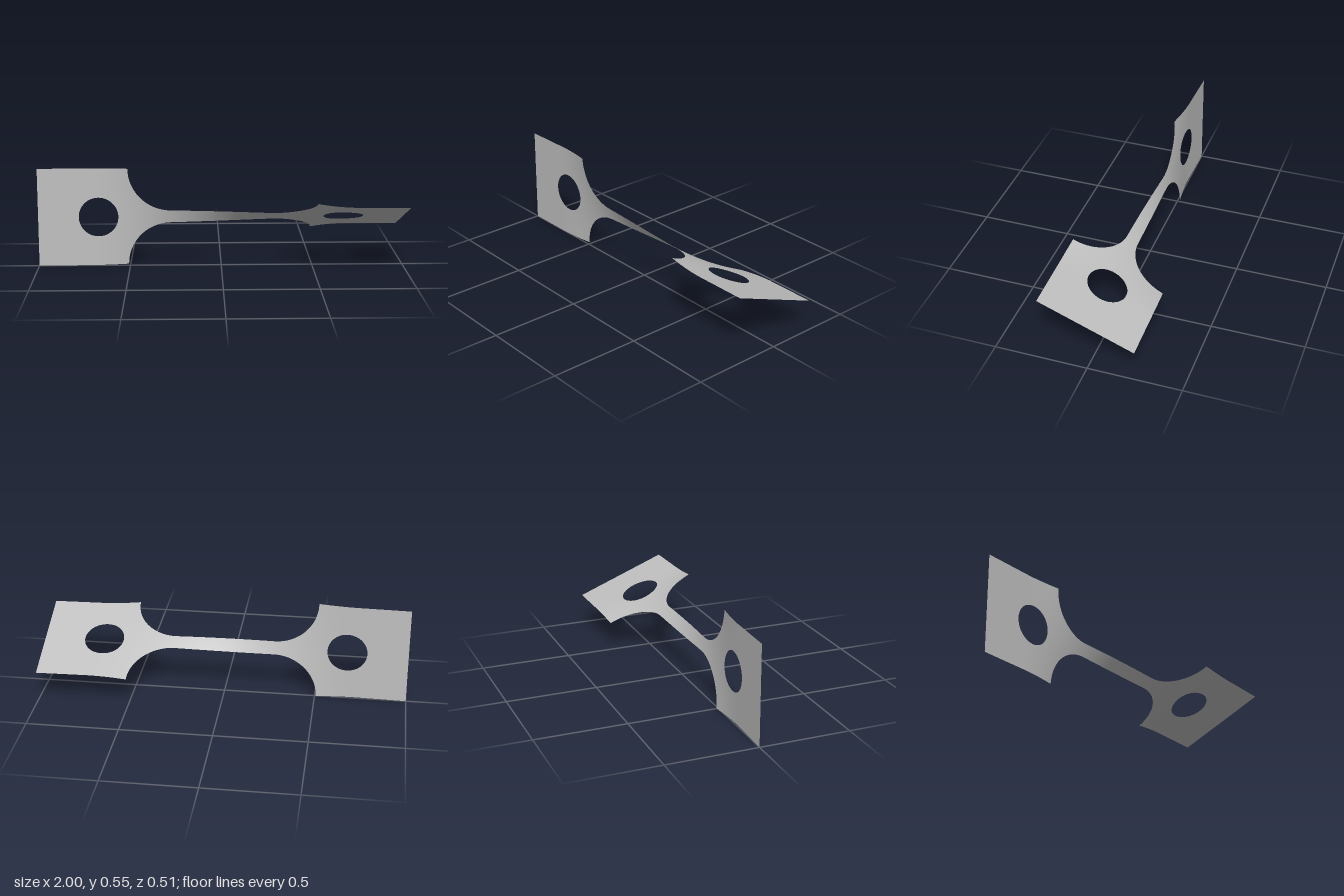
import * as THREE from 'three';
import { mergeGeometries, mergeVertices } from 'three/addons/utils/BufferGeometryUtils.js';

const HALF = 0.271;     // half width of the end tabs
const NECK = 0.0365;    // half width of the neck
const TAB = 0.508;      // where the tabs meet the fillets
const HOLE_X = 0.67;    // hole centre distance
const HOLE_R = 0.108;
const FILLET = HALF - NECK;

// Twists and slightly bows the flat sheet: x along it, w across it
function bend(x, w) {
  const a = THREE.MathUtils.degToRad(68.5) * THREE.MathUtils.smoothstep(x, -0.73, 0.73);
  const bow = Math.cos(x * Math.PI / 2);
  return [
    x,
    HALF + 0.0055 * bow + 0.001 * (x + 1) + w * Math.cos(a),
    0.008 * bow + 0.001 * (x + 1) + w * Math.sin(a),
  ];
}

// Half width of the outline at x
function halfWidth(x) {
  const d = TAB + 1e-9 - Math.abs(x);
  if (d <= 0) return HALF;
  if (d >= FILLET) return NECK;
  return HALF - Math.sqrt(Math.max(0, FILLET ** 2 - (FILLET - d) ** 2));
}

// Strip of sheet between two edge curves lo(x) and hi(x)
function strip(xs, lo, hi, rows) {
  const pos = [], index = [];
  xs.forEach((x, i) => {
    for (let j = 0; j <= rows; j++) {
      pos.push(...bend(x, THREE.MathUtils.lerp(lo(x), hi(x), j / rows)));
      if (i < xs.length - 1 && j < rows) {
        const a = i * (rows + 1) + j, b = a + rows + 1;
        index.push(a, b, b + 1, a, b + 1, a + 1);
      }
    }
  });
  const g = new THREE.BufferGeometry();
  g.setAttribute('position', new THREE.Float32BufferAttribute(pos, 3));
  g.setIndex(index);
  return g;
}

const stations = (a, b, n, ease = t => t) =>
  Array.from({ length: n + 1 }, (_, i) => a + (b - a) * ease(i / n));

function join(parts) {
  const g = mergeVertices(mergeGeometries(parts), 1e-5);
  g.computeVertexNormals();
  return g;
}

// Square tab with a round hole; side is -1 or 1
function tab(side) {
  const c = side * HOLE_X;
  const ends = [side * TAB, side].sort((p, q) => p - q);
  const hole = x => Math.sqrt(Math.max(0, HOLE_R ** 2 - (x - c) ** 2));
  const top = () => HALF, bottom = () => -HALF;
  const across = stations(c - HOLE_R, c + HOLE_R, 40, t => (1 - Math.cos(Math.PI * t)) / 2);
  return join([
    strip(stations(ends[0], c - HOLE_R, 10), bottom, top, 8),
    strip(across, hole, top, 4),
    strip(across, bottom, x => -hole(x), 4),
    strip(stations(c + HOLE_R, ends[1], 10), bottom, top, 8),
  ]);
}

// Narrow neck with a concave fillet at each end
function neck() {
  const inner = TAB - FILLET;
  const xs = [
    ...stations(-TAB, -inner, 24, t => 1 - Math.cos(t * Math.PI / 2)),
    ...stations(-inner, inner, 40).slice(1),
    ...stations(inner, TAB, 24, t => Math.sin(t * Math.PI / 2)).slice(1),
  ];
  return join([strip(xs, x => -halfWidth(x), halfWidth, 8)]);
}

export function createModel() {
  const metal = new THREE.MeshStandardMaterial({ color: 0xc0c0c0, side: THREE.DoubleSide });
  metal.name = 'light grey metal';
  const group = new THREE.Group();
  group.name = 'twistedStrip';
  const add = (name, geometry) => {
    const mesh = new THREE.Mesh(geometry, metal);
    mesh.name = name;
    group.add(mesh);
  };
  add('rightTab', tab(-1));
  add('neck', neck());
  add('leftTab', tab(1));
  return group;
}
